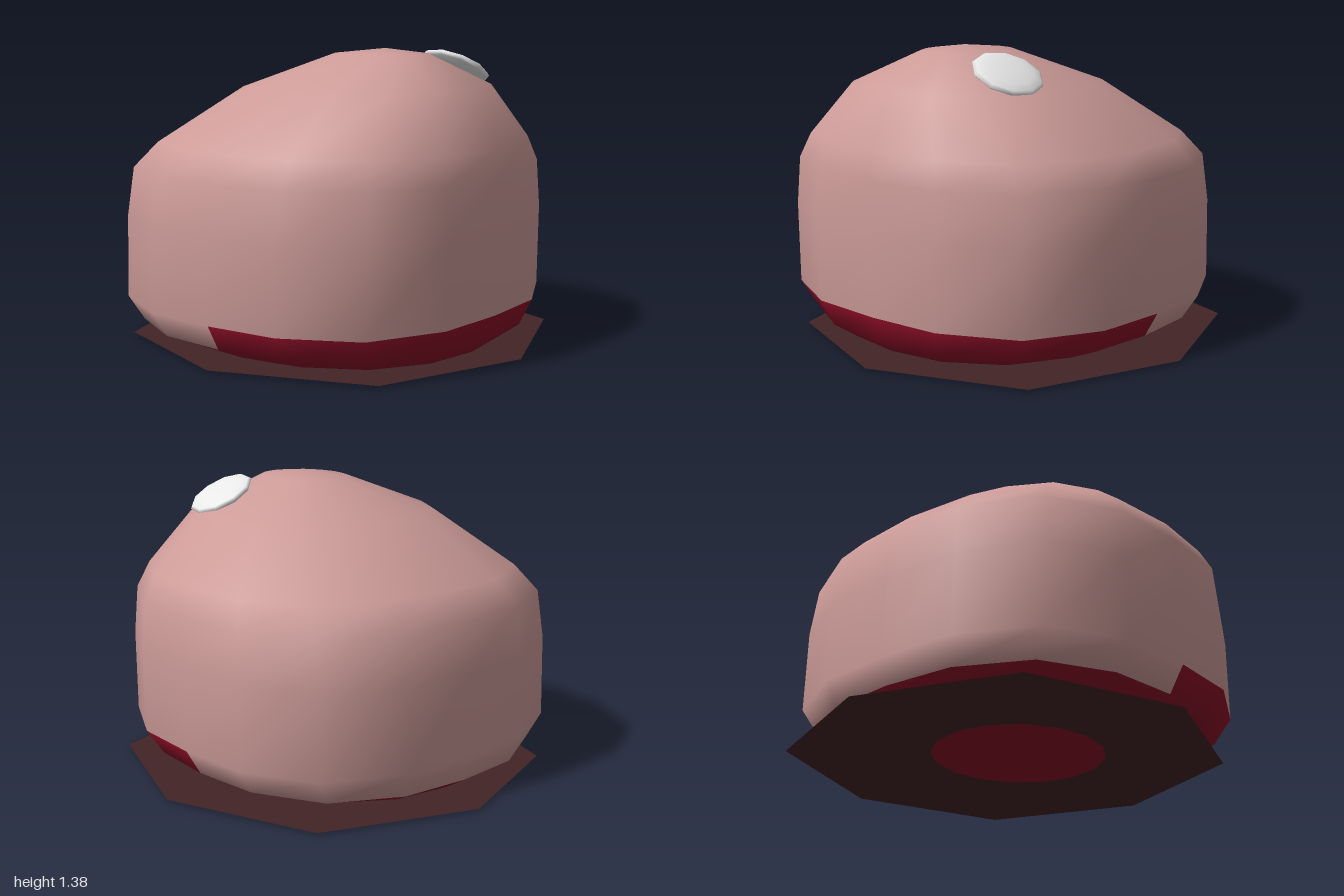
import * as THREE from 'three';

const material = (name, color, side = THREE.FrontSide) => {
  const m = new THREE.MeshStandardMaterial({ color, side });
  m.name = name;
  return m;
};

// Body cross-sections, bottom to top: [y, half width, front z, back z, squareness]
const SECTIONS = [
  [0.0, 0, 0.01, 0.01, 0],
  [0.011, 0.37, 0.4, -0.38, 0],
  [0.025, 0.71, 0.785, -0.745, 0.4],
  [0.09, 0.85, 0.86, -0.85, 0.8],
  [0.21, 0.92, 0.9, -0.88, 1],
  [0.6, 0.92, 0.905, -0.87, 1],
  [0.83, 0.907, 0.9, -0.845, 0.9],
  [0.95, 0.84, 0.875, -0.74, 0.75],
  [1.21, 0.56, 0.76, -0.365, 0.4],
  [1.36, 0.2, 0.5, 0.04, 0],
  [1.385, 0, 0.29, 0.29, 0],
];
const SIDES = 16;
const RED_SECTIONS = 4; // bands below this section are dark red
const CENTRE_X = -0.06;

function bodyGeometry() {
  const positions = [], index = [];
  for (const [y, halfWidth, front, back, square] of SECTIONS) {
    for (let j = 0; j < SIDES; j++) {
      const t = (j / SIDES) * Math.PI * 2;
      // push the diagonals outward to turn the circle into a rounded square
      const k = 1 + square * 0.11 * Math.sin(2 * t) ** 2;
      positions.push(
        CENTRE_X + halfWidth * k * Math.cos(t),
        y,
        (front + back) / 2 + ((front - back) / 2) * k * Math.sin(t)
      );
    }
  }
  const last = SECTIONS.length - 1;
  for (let i = 0; i < last; i++) {
    for (let j = 0; j < SIDES; j++) {
      const n = (j + 1) % SIDES;
      const a = i * SIDES + j, b = i * SIDES + n;
      const c = a + SIDES, d = b + SIDES;
      if (i > 0) index.push(a, c, b);
      if (i < last - 1) index.push(b, c, d);
      if (i === 0) index.push(a, c, d);
      if (i === last - 1) index.splice(-3, 3, a, c, b);
    }
  }
  const geometry = new THREE.BufferGeometry();
  geometry.setAttribute('position', new THREE.Float32BufferAttribute(positions, 3));
  geometry.setIndex(index);
  geometry.computeVertexNormals();
  for (let j = 0; j < SIDES; j++) {
    geometry.attributes.normal.setXYZ(j, 0, -1, 0);
    geometry.attributes.normal.setXYZ(last * SIDES + j, 0, 1, 0);
  }
  // the lowest band is a fan of single triangles, the others are quads
  const redCount = SIDES * 3 + (RED_SECTIONS - 1) * SIDES * 6;
  geometry.addGroup(0, redCount, 0);
  geometry.addGroup(redCount, index.length - redCount, 1);
  return geometry;
}

export function createModel() {
  const model = new THREE.Group();
  const pink = material('dusty pink', 0xcc9b98);
  const red = material('dark red', 0x8a0d26);
  const brown = material('dark brown', 0x432426, THREE.DoubleSide);
  const white = material('white', 0xe8e8e8);

  // Domed body with a red underside
  const body = new THREE.Mesh(bodyGeometry(), [red, pink]);
  body.name = 'body';
  model.add(body);

  // Flat octagonal base sheet
  const octagon = new THREE.Shape();
  for (let i = 0; i < 8; i++) {
    const t = (i * Math.PI) / 4, k = i % 2 ? 1.03 : 1;
    octagon[i ? 'lineTo' : 'moveTo'](0.98 * k * Math.cos(t), k * Math.sin(t));
  }
  const base = new THREE.Mesh(new THREE.ShapeGeometry(octagon).rotateX(-Math.PI / 2), brown);
  base.position.y = 0.012;
  base.name = 'baseSheet';
  model.add(base);

  // Lens-shaped highlight resting on the front left of the dome
  const highlight = new THREE.Mesh(
    new THREE.SphereGeometry(1, 10, 8).scale(0.16, 0.032, 0.175), white);
  highlight.position.set(0.33, 1.288, 0.425);
  highlight.rotation.set(0.1, 0, -0.52);
  highlight.name = 'highlight';
  model.add(highlight);

  return model;
}
